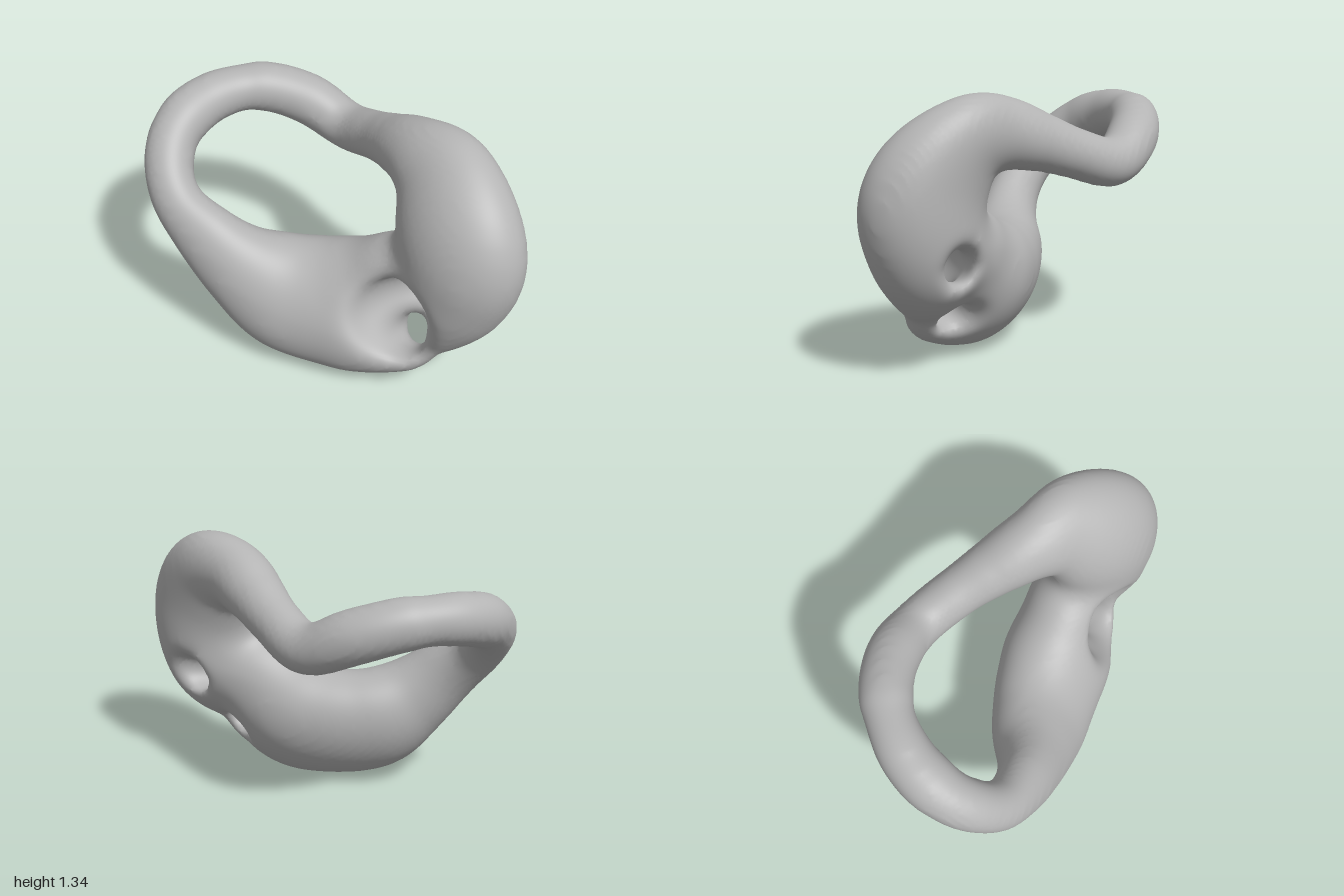
import * as THREE from 'three';

// Control points: x, y, z, radius, depth ratio (z radius / radius),
// tilt of the section's z with height, lean of its z with x
const ARM = [
  [.42, .28, .30, .172, 1, .2], [.12, .312, .25, .31, .89, .2], [-.2, .337, .293, .289, .83, .2],
  [-.4, .458, .34, .226, .8, .15], [-.6, .637, .357, .172, .8, .08], [-.775, .79, .315, .13, .9],
  [-.86, .93, .2, .127], [-.872, 1.035, .05, .129], [-.79, 1.1, -.15, .129],
  [-.6, 1.11, -.33, .129], [-.36, 1.04, -.41, .134],
];
const LOBE = [
  [-.13, .945, -.385, .124], [.08, 1.015, -.255, .126], [.24, 1.09, -.125, .145],
  [.4, 1.138, .005, .183, .9, .12, .05], [.565, 1.09, .12, .255, .76, .24, .12],
  [.675, .89, .243, .325, .77, .1, .16], [.69, .66, .262, .274, .9, 0, .08],
  [.64, .47, .28, .19], [.56, .3, .33, .097], [.46, .215, .335, .099], [.34, .19, .33, .11],
];
const WEB = [[.2, .42, .2, .24, .9], [.42, .55, .2, .24, .9], [.62, .61, .22, .21]];
const PIT = [
  [.385, .51, .64, .25], [.41, .49, .46, .195], [.45, .5, .34, .145],
  [.53, .52, .22, .095], [.635, .545, .118, .083], [.75, .575, 0, .1],
];
const DRAIN = [[.43, .4, .55, .17], [.463, .33, .36, .108], [.485, .25, .2, .078], [.51, .205, 0, .105]];

// Smooth tapered tube along points[from..to]: returns a distance function
function tube(points, from = 0, to = points.length - 1) {
  const curve = (a, b, c) => new THREE.CatmullRomCurve3(points.map(p => new THREE.Vector3(a(p), b(p), c(p))));
  const path = curve(p => p[0], p => p[1], p => p[2]);
  const size = curve(p => p[3], p => p[4] ?? 1, p => p[5] ?? 0);
  const lean = curve(p => p[6] ?? 0, p => p[0], p => p[1]);
  const fine = 8, s = [];
  for (let i = from * fine; i <= to * fine; i++) {
    const t = i / fine / (points.length - 1);
    s.push([...path.getPoint(t).toArray(), ...size.getPoint(t).toArray(), lean.getPoint(t).x]);
  }
  return (x, y, z) => {
    let best = 1e9;
    for (let i = 0; i < s.length - 1; i++) {
      const a = s[i], b = s[i + 1];
      const ux = b[0] - a[0], uy = b[1] - a[1], uz = b[2] - a[2];
      let t = ((x - a[0]) * ux + (y - a[1]) * uy + (z - a[2]) * uz) / (ux * ux + uy * uy + uz * uz);
      t = t < 0 ? 0 : t > 1 ? 1 : t;
      const mix = e => a[e] + (b[e] - a[e]) * t;
      const dx = x - a[0] - ux * t, dy = y - a[1] - uy * t;
      const dz = (z - a[2] - uz * t + mix(5) * dy - mix(6) * dx) / mix(4);
      const d = Math.sqrt(dx * dx + dy * dy + dz * dz) - mix(3);
      if (d < best) best = d;
    }
    return best;
  };
}

function blend(a, b, k) {
  const h = Math.max(k - Math.abs(a - b), 0) / k;
  return Math.min(a, b) - h * h * k / 4;
}

// Ring and web blended together, then two tunnels carved out
function makeField() {
  const ring = [...ARM, ...LOBE], joint = ARM.length - 1;
  const arm = tube(ring, 0, joint), lobe = tube(ring, joint);
  const web = tube(WEB), pit = tube(PIT), drain = tube(DRAIN);
  return (x, y, z) => {
    const k = .002 + .08 * THREE.MathUtils.smoothstep(x, 0, .3);
    let d = blend(arm(x, y, z), lobe(x, y, z), k);
    if (x > -.3) {
      d = blend(d, web(x, y, z), .1);
      const tunnels = blend(pit(x, y, z), drain(x, y, z), .06);
      d = -blend(-d, tunnels, .06);
    }
    return d;
  };
}

// Skin a distance field with one vertex per crossed grid cell
function skin(field, min, max, step) {
  const n = min.map((m, i) => Math.ceil((max[i] - m) / step) + 1);
  const stride = [1, n[0], n[0] * n[1]];
  const total = n[0] * n[1] * n[2];
  const val = new Float32Array(total), cell = new Int32Array(total).fill(-1);
  const each = (from, trim, fn) => {
    for (let k = from; k < n[2] - trim; k++)
      for (let j = from; j < n[1] - trim; j++)
        for (let i = from; i < n[0] - trim; i++) fn(i, j, k, i + j * stride[1] + k * stride[2]);
  };
  each(0, 0, (i, j, k, id) => {
    val[id] = field(min[0] + i * step, min[1] + j * step, min[2] + k * step);
  });
  const pos = [], index = [];
  each(0, 1, (i, j, k, id) => {
    const sum = [0, 0, 0];
    let count = 0;
    for (let c = 0; c < 8; c++) {
      const o = [c & 1, (c >> 1) & 1, c >> 2];
      const at = id + o[0] + o[1] * stride[1] + o[2] * stride[2];
      for (let a = 0; a < 3; a++) {
        if (o[a]) continue;
        const va = val[at], vb = val[at + stride[a]];
        if ((va < 0) === (vb < 0)) continue;
        for (let e = 0; e < 3; e++) sum[e] += o[e] + (e === a ? va / (va - vb) : 0);
        count++;
      }
    }
    if (!count) return;
    cell[id] = pos.length / 3;
    [i, j, k].forEach((g, e) => pos.push(min[e] + (g + sum[e] / count) * step));
  });
  each(1, 1, (i, j, k, id) => {
    for (let a = 0; a < 3; a++) {
      const inside = val[id] < 0;
      if (inside === (val[id + stride[a]] < 0)) continue;
      const b = stride[(a + 1) % 3], c = stride[(a + 2) % 3];
      const q = [cell[id], cell[id - b], cell[id - b - c], cell[id - c]];
      if (!inside) q.reverse();
      index.push(q[0], q[1], q[2], q[0], q[2], q[3]);
    }
  });
  const geo = new THREE.BufferGeometry();
  geo.setAttribute('position', new THREE.Float32BufferAttribute(pos, 3));
  geo.setIndex(index);
  return geo;
}

// Even out small ripples by moving each vertex halfway to its neighbours' mean
function relax(geo, passes) {
  const p = geo.attributes.position.array, ix = geo.index.array;
  for (let pass = 0; pass < passes; pass++) {
    const sum = new Float32Array(p.length), count = new Uint16Array(p.length / 3);
    for (let f = 0; f < ix.length; f++) {
      const a = ix[f], b = ix[f % 3 === 2 ? f - 2 : f + 1];
      for (let e = 0; e < 3; e++) sum[a * 3 + e] += p[b * 3 + e];
      count[a]++;
    }
    for (let i = 0; i < p.length; i++) p[i] += .5 * (sum[i] / count[Math.floor(i / 3)] - p[i]);
  }
}

export function createModel() {
  const group = new THREE.Group();
  group.name = 'loopedSculpture';
  const grey = new THREE.MeshStandardMaterial({ color: 0xb4b4b4 });
  grey.name = 'plain grey';
  const geo = skin(makeField(), [-1.12, -.12, -.66], [1.12, 1.46, .66], .021);
  relax(geo, 8);
  geo.computeVertexNormals();
  const mesh = new THREE.Mesh(geo, grey);
  mesh.name = 'ringBody';
  group.add(mesh);
  return group;
}
